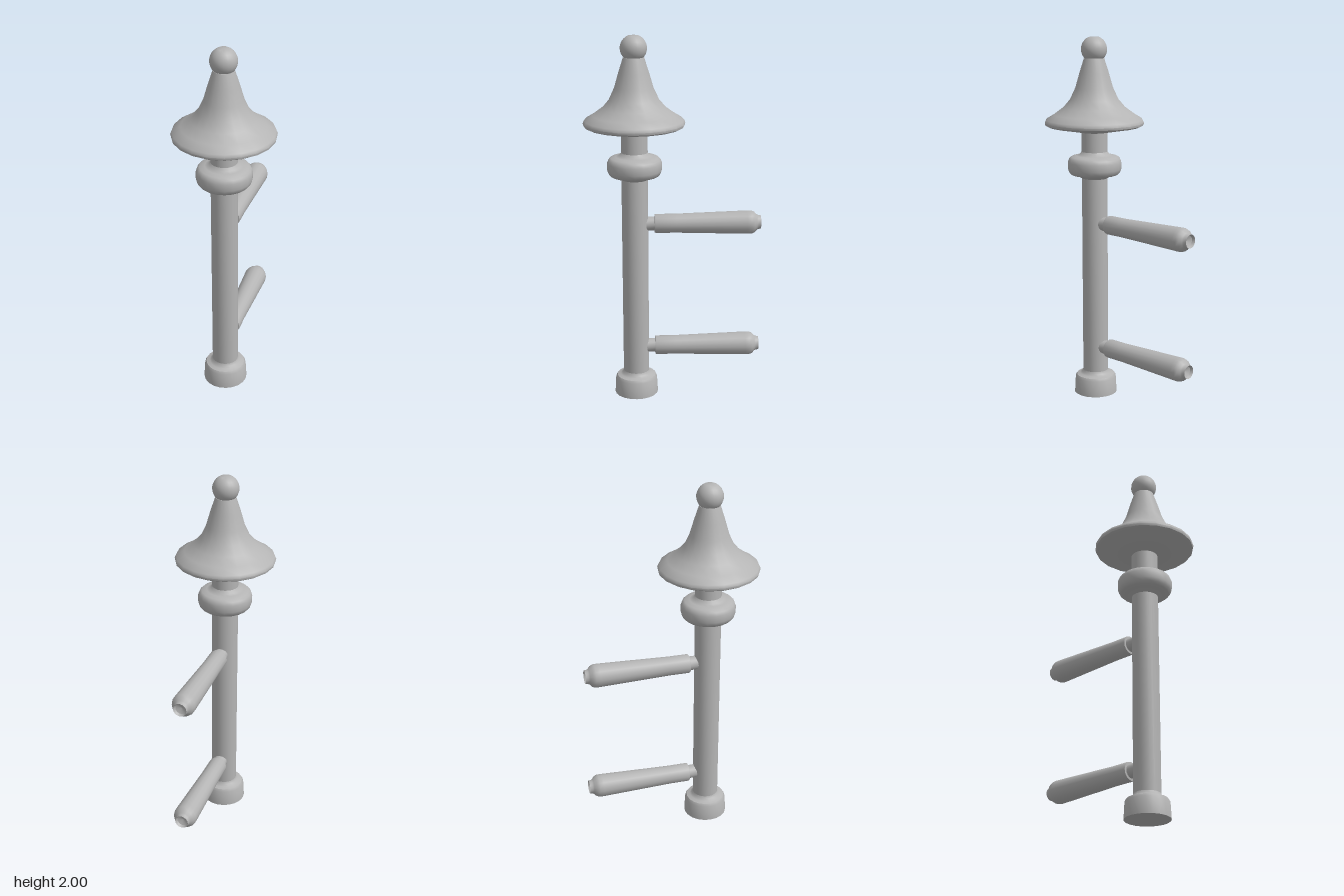
import * as THREE from 'three';
import { toCreasedNormals } from 'three/addons/utils/BufferGeometryUtils.js';

const POST_Z = 0.205;

// Turned part from [radius, height] points, listed bottom to top
function turned(name, points, sides, material) {
  const profile = points.map(([r, y]) => new THREE.Vector2(r, y));
  const geometry = toCreasedNormals(new THREE.LatheGeometry(profile, sides), 0.7);
  const mesh = new THREE.Mesh(geometry, material);
  mesh.name = name;
  return mesh;
}

export function createModel() {
  const model = new THREE.Group();
  model.name = 'post';
  const grey = new THREE.MeshStandardMaterial({ color: 0xb4b4b4, side: THREE.DoubleSide });
  grey.name = 'grey';

  const column = new THREE.Group();
  column.name = 'column';
  column.position.z = POST_Z;
  model.add(column);

  // Foot, shaft and neck
  column.add(turned('base', [
    [0, 0], [0.12, 0], [0.115, 0.09], [0.107, 0.104], [0.088, 0.11], [0.076, 0.118], [0.071, 0.132],
  ], 20, grey));
  column.add(turned('shaft', [[0.071, 0.12], [0.071, 1.5]], 20, grey));

  // Rounded ring with flared fillets
  column.add(turned('collar', [
    [0.071, 1.235], [0.085, 1.243], [0.1, 1.25], [0.128, 1.256], [0.14, 1.268], [0.147, 1.287],
    [0.147, 1.325], [0.14, 1.343], [0.128, 1.354], [0.1, 1.36], [0.082, 1.366], [0.071, 1.382],
  ], 20, grey));

  // Flared bell-shaped roof with a thin rim
  column.add(turned('roof', [
    [0, 1.488], [0.071, 1.488], [0.255, 1.522], [0.268, 1.53], [0.271, 1.542], [0.264, 1.558],
    [0.22, 1.585], [0.17, 1.622], [0.132, 1.667], [0.103, 1.73], [0.08, 1.81], [0.055, 1.888], [0, 1.888],
  ], 20, grey));

  // Ball finial with a small flat top
  const ball = [];
  for (let i = 0; i <= 10; i++) {
    const a = THREE.MathUtils.lerp(-0.9, 1.15, i / 10);
    ball.push([0.071 * Math.cos(a), 1.935 + 0.071 * Math.sin(a)]);
  }
  ball.push([0, 2]);
  column.add(turned('finial', ball, 20, grey));

  // Two tapered pegs pointing backwards, each with a hollowed tip
  for (const [name, y] of [['upperPeg', 0.985], ['lowerPeg', 0.275]]) {
    const peg = turned(name, [
      [0.038, 0.05], [0.038, 0.105], [0.05, 0.106], [0.052, 0.112], [0.052, 0.22], [0.064, 0.608],
      [0.064, 0.63], [0.058, 0.647], [0.044, 0.66], [0.039, 0.668], [0.037, 0.683], [0.03, 0.668], [0, 0.655],
    ], 16, grey);
    peg.rotation.x = -Math.PI / 2;
    peg.position.set(0, y, POST_Z);
    model.add(peg);
  }
  return model;
}
